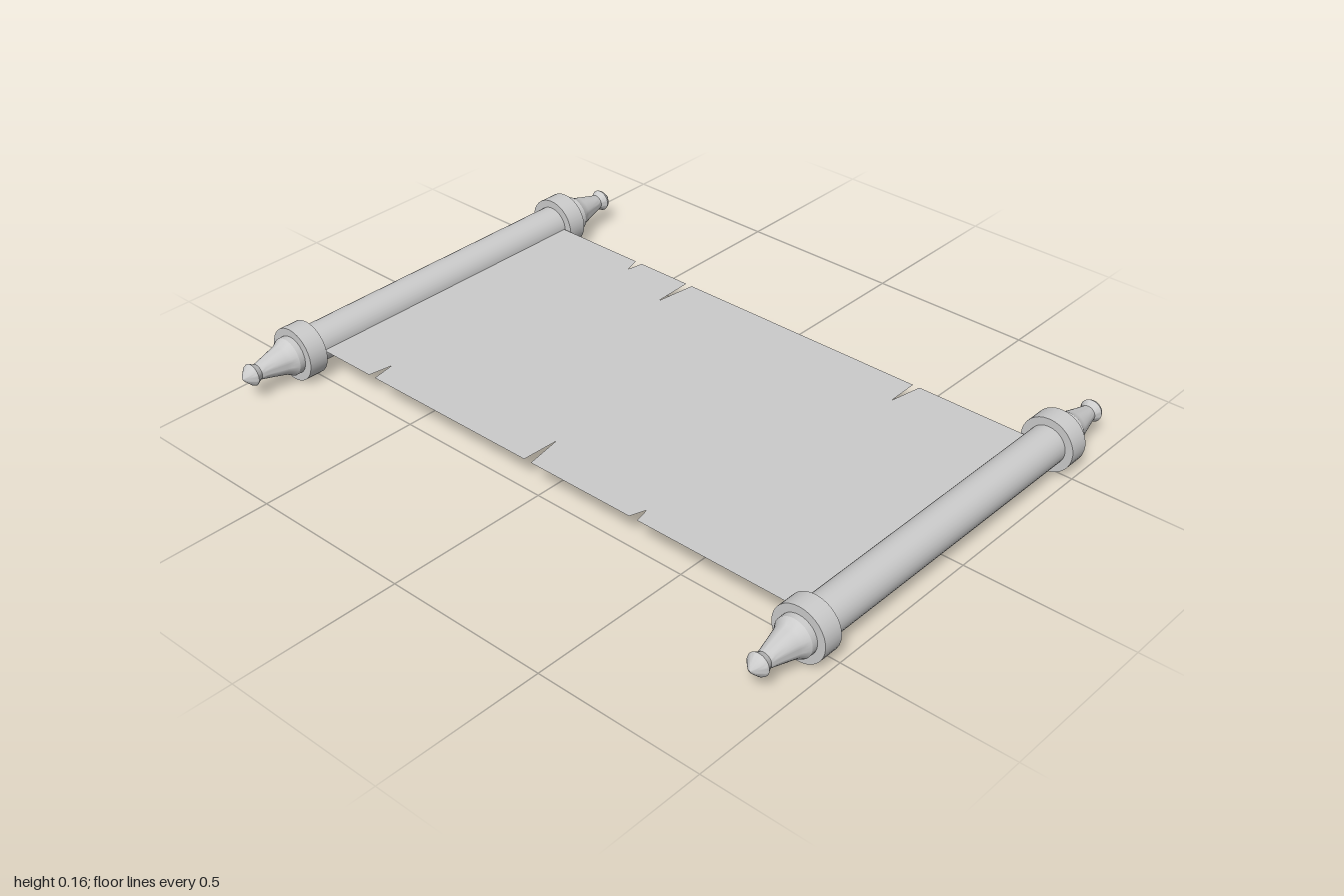
import * as THREE from 'three';
import { toCreasedNormals } from 'three/addons/utils/BufferGeometryUtils.js';

const ROD_X = 0.92, ROD_Y = 0.081;

export function createModel() {
  const root = new THREE.Group();
  root.name = 'scroll';
  const material = new THREE.MeshStandardMaterial({ color: 0xcccccc });
  const paperMaterial = new THREE.MeshStandardMaterial({ color: 0xcccccc, side: THREE.DoubleSide });

  const add = (parent, name, geometry, mat = material) => {
    const mesh = new THREE.Mesh(geometry, mat);
    mesh.name = name;
    parent.add(mesh);
    return mesh;
  };

  // Flat sheet with torn edges; shape coordinates are (x, -z)
  const zBack = -0.482, zFront = 0.491, halfWidth = 0.91;
  // each tear: start x, tip x, tip z, end x
  const frontTears = [
    [-0.671, -0.66, 0.42, -0.647],
    [-0.057, -0.053, 0.376, -0.032],
    [0.318, 0.334, 0.443, 0.345],
  ];
  const backTears = [
    [0.509, 0.49, -0.38, 0.487],
    [-0.329, -0.345, -0.353, -0.351],
    [-0.532, -0.541, -0.43, -0.556],
  ];
  const outline = new THREE.Shape();
  const cut = (tears, z) => tears.forEach(([a, tip, tipZ, b]) => {
    outline.lineTo(a, -z);
    outline.lineTo(tip, -tipZ);
    outline.lineTo(b, -z);
  });
  outline.moveTo(-halfWidth, -zFront);
  cut(frontTears, zFront);
  outline.lineTo(halfWidth, -zFront);
  outline.lineTo(halfWidth, -zBack);
  cut(backTears, zBack);
  outline.lineTo(-halfWidth, -zBack);
  outline.closePath();
  const sheet = add(root, 'paperSheet', new THREE.ShapeGeometry(outline).rotateX(-Math.PI / 2), paperMaterial);
  sheet.position.y = 0.085;

  // Turned knob: chamfered shoulder, concave neck, pointed bead
  const finialProfile = [
    [0.0575, 0.56], [0.0575, 0.58], [0.046, 0.599], [0.043, 0.61], [0.035, 0.64],
    [0.027, 0.672], [0.0235, 0.687], [0.027, 0.695], [0.033, 0.706], [0.03, 0.713],
    [0.012, 0.731], [0, 0.739],
  ].map(([r, h]) => new THREE.Vector2(r, h));
  const finialGeometry = toCreasedNormals(new THREE.LatheGeometry(finialProfile, 32), 0.5);
  finialGeometry.rotateX(Math.PI / 2);

  const rodGeometry = new THREE.CylinderGeometry(0.0575, 0.0575, 1.13, 32, 1, true).rotateX(Math.PI / 2);
  const ringGeometry = new THREE.CylinderGeometry(0.081, 0.081, 0.061, 32).rotateX(Math.PI / 2);

  // Two rollers, each with a ring and finial at both ends
  for (const side of [-1, 1]) {
    const roller = new THREE.Group();
    roller.name = side > 0 ? 'leftRoller' : 'rightRoller';
    roller.position.set(side * ROD_X, ROD_Y, 0);
    root.add(roller);
    add(roller, 'rod', rodGeometry);
    add(roller, 'frontRing', ringGeometry).position.z = 0.531;
    add(roller, 'backRing', ringGeometry).position.z = -0.517;
    add(roller, 'frontFinial', finialGeometry);
    add(roller, 'backFinial', finialGeometry).rotation.y = Math.PI;
  }
  return root;
}
